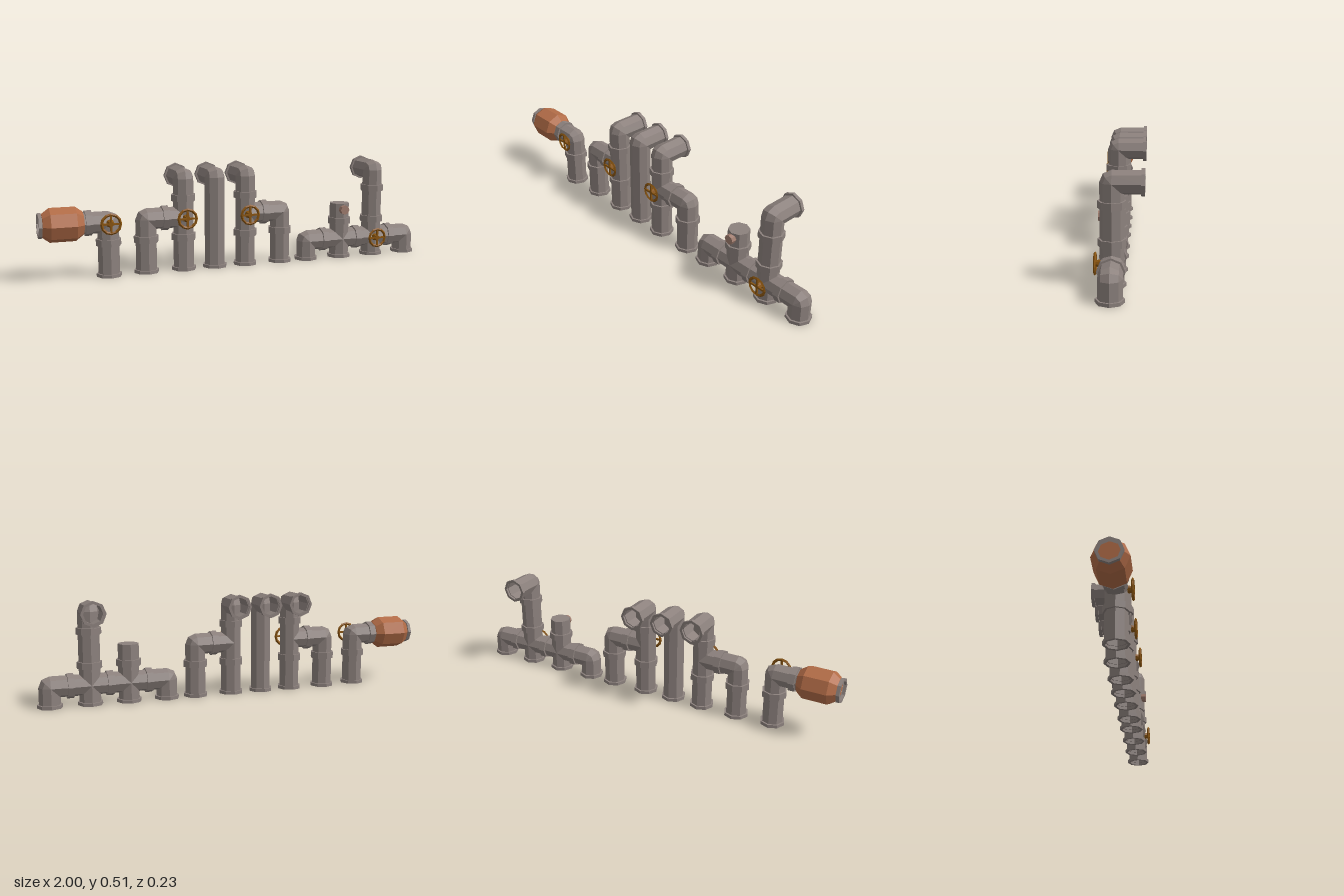
import * as THREE from 'three';

const R = 0.052;       // pipe radius
const RING = 0.061;    // flange and collar radius
const Z = 0.022;       // common pipe axis depth
const HIGH = 0.262, LOW = 0.098, TOP = 0.452;

const mat = (name, color, side = THREE.FrontSide) => {
  const m = new THREE.MeshStandardMaterial({ color, flatShading: true, side });
  m.name = name;
  return m;
};

export function createModel() {
  const steel = mat('pipe grey', 0x8c817d, THREE.DoubleSide);
  const copper = mat('copper', 0xb26c47, THREE.DoubleSide);
  const bronze = mat('valve bronze', 0x8a5510);
  const dull = mat('dull copper', 0xa07c6e);
  const model = new THREE.Group();
  model.name = 'pipeSet';

  const V = (x, y, z = Z) => new THREE.Vector3(x, y, z);
  const UP = V(0, 1, 0);

  function add(parent, name, geometry, material, pos, dir = UP) {
    const mesh = new THREE.Mesh(geometry, material);
    mesh.name = name;
    mesh.position.copy(pos);
    mesh.quaternion.setFromUnitVectors(UP, dir);
    parent.add(mesh);
    return mesh;
  }

  function group(name) {
    const g = new THREE.Group();
    g.name = name;
    model.add(g);
    return g;
  }

  // Open eight-sided pipe between two points
  function pipe(g, a, b) {
    const dir = b.clone().sub(a), len = dir.length();
    add(g, 'pipe', new THREE.CylinderGeometry(R, R, len, 8, 1, true), steel,
      a.clone().lerp(b, 0.5), dir.normalize());
  }

  // Square-section ring starting at a point and extending along dir
  function ring(g, name, pos, dir, thick) {
    const profile = [[R - 0.004, 0], [RING, 0], [RING, thick], [R - 0.004, thick]]
      .map(p => new THREE.Vector2(...p));
    add(g, name, new THREE.LatheGeometry(profile, 8), steel, pos, dir);
  }
  const flange = (g, pos, dir) => ring(g, 'endFlange', pos, dir, 0.016);
  const collar = (g, joint, dir) =>
    ring(g, 'collar', joint.clone().addScaledVector(dir, 0.08), dir, 0.032);

  // Faceted outer corner of a bend, turning about the given axis
  const corner = (g, pos, axis) =>
    add(g, 'elbow', new THREE.SphereGeometry(R, 8, 4), steel, pos, axis);

  const left = V(1, 0, 0), right = V(-1, 0, 0), down = V(0, -1, 0);
  const back = V(0, 0, -1), front = V(0, 0, 1);

  // Standing pipe with a base flange
  function riser(g, x, top, z = Z) {
    pipe(g, V(x, 0, z), V(x, top, z));
    flange(g, V(x, 0, z), UP);
  }

  // Standing pipe that turns to the back at the top
  function tallPipe(g, x) {
    riser(g, x, TOP);
    corner(g, V(x, TOP), left);
    pipe(g, V(x, TOP), V(x, TOP, -0.116));
    flange(g, V(x, TOP, -0.1), back);
  }

  // Side pipe from a joint to an elbow and down to the floor
  function sideArm(g, x, endX, y) {
    pipe(g, V(x, y), V(endX, y));
    corner(g, V(endX, y), front);
    riser(g, endX, y);
  }

  // Round hand wheel with four spokes and a tapered stem
  function valve(g, x, y, z) {
    const w = new THREE.Group();
    w.name = 'valveWheel';
    w.position.set(x, y, z);
    const rim = add(w, 'wheelRim', new THREE.TorusGeometry(0.045, 0.007, 4, 12), bronze, V(0, 0, 0));
    rim.scale.z = 0.8;
    for (let i = 0; i < 2; i++) {
      const spoke = add(w, 'spokes', new THREE.BoxGeometry(0.088, 0.009, 0.007), bronze, V(0, 0, 0));
      spoke.rotation.z = i * Math.PI / 2;
    }
    add(w, 'stem', new THREE.CylinderGeometry(0.012, 0.02, 0.026, 8), bronze, V(0, 0, -0.011), front);
    g.add(w);
  }

  // Tank pipe
  const tank = group('tankPipe');
  const tz = 0.035, tx = -0.673;
  riser(tank, tx, HIGH, tz);
  corner(tank, V(tx, HIGH, tz), front);
  pipe(tank, V(tx, HIGH, tz), V(-0.8, HIGH, tz));
  collar(tank, V(tx, HIGH, tz), down);
  collar(tank, V(tx, HIGH, tz), right);
  const body = [[0, 0], [0.056, 0], [0.082, 0.035], [0.082, 0.155], [0.056, 0.19], [0, 0.19]]
    .map(p => new THREE.Vector2(...p));
  add(tank, 'tank', new THREE.LatheGeometry(body, 8), copper, V(-0.982, HIGH, tz), left);
  flange(tank, V(-0.984, HIGH, tz), right);
  valve(tank, tx, HIGH, 0.107);

  // Two mirrored tee pipes
  for (const [x, s, dir] of [[-0.298, -1, right], [0.025, 1, left]]) {
    const tee = group('teePipe');
    tallPipe(tee, x);
    const endX = x + s * 0.189;
    sideArm(tee, x, endX, HIGH);
    for (const d of [UP, down, dir]) collar(tee, V(x, HIGH), d);
    collar(tee, V(endX, HIGH), down);
    valve(tee, x, HIGH, 0.094);
  }

  // Plain tall pipe
  tallPipe(group('plainPipe'), -0.137);

  // Low manifold
  const low = group('lowManifold');
  const cx = 0.553, vx = 0.743;
  sideArm(low, cx, 0.363, LOW);
  sideArm(low, cx, 0.935, LOW);
  tallPipe(low, vx);
  riser(low, cx, 0.23);
  for (const x of [cx, vx]) {
    for (const d of [UP, left, right]) collar(low, V(x, LOW), d);
  }
  collar(low, V(vx, HIGH), UP);
  valve(low, vx, LOW, 0.094);

  // Closed cap with a small front outlet
  add(low, 'cap', new THREE.CylinderGeometry(R, R, 0.075, 8), steel, V(cx, 0.248));
  add(low, 'outlet', new THREE.CylinderGeometry(0.024, 0.024, 0.05, 8), dull, V(cx, 0.255, 0.066), front);

  return model;
}
